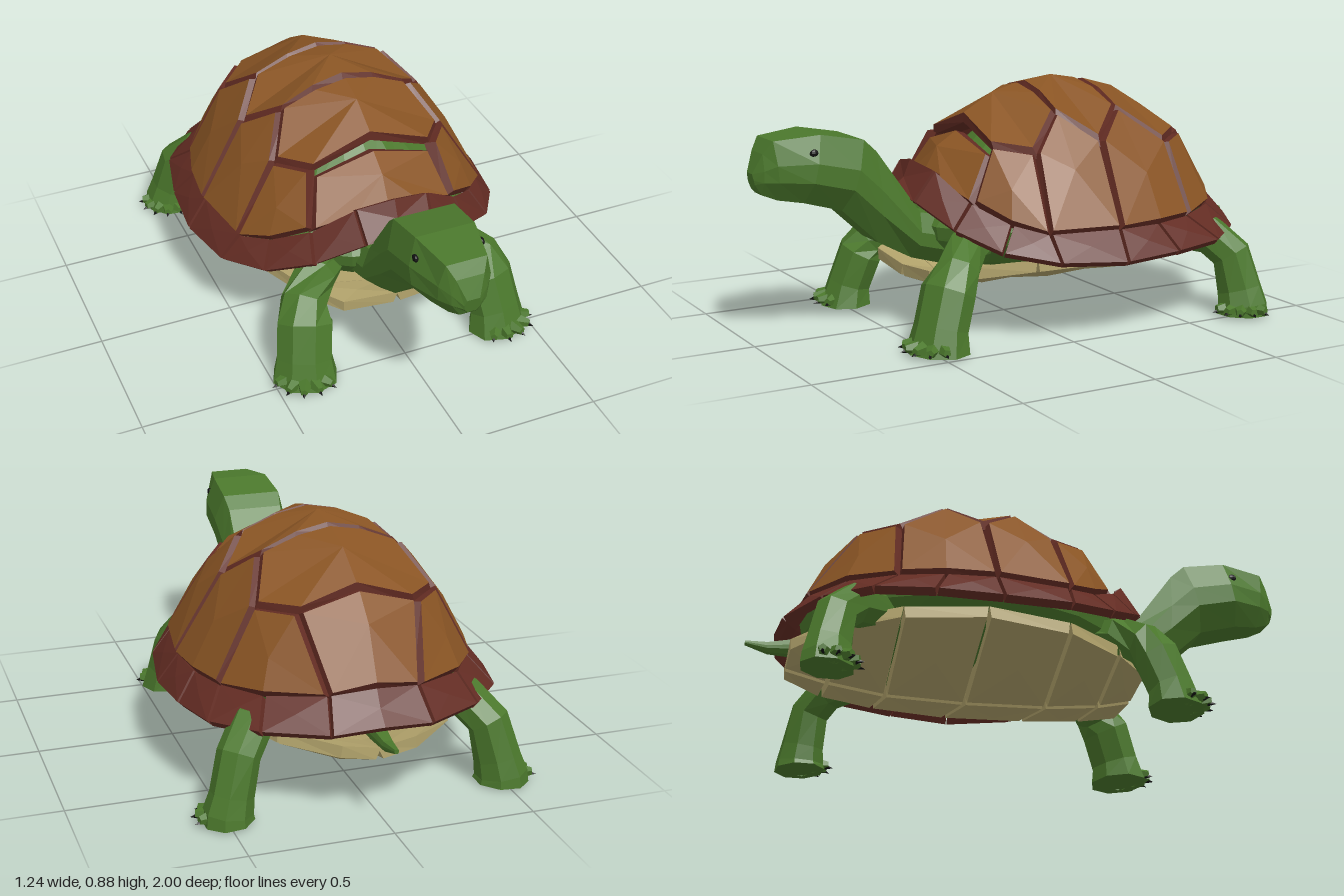
import * as THREE from 'three';

const GREEN = 0x4b782c, BROWN = 0x8a5524, RED = 0x632c23, CREAM = 0xb3a46c, BLACK = 0x111111;
const v = (x, y, z) => new THREE.Vector3(x, y, z);
const flip = (p) => v(-p.x, p.y, p.z);
const CORE = v(0, 0.4, -0.2);

function mesh(name, geometry, color) {
  const m = new THREE.Mesh(geometry, new THREE.MeshStandardMaterial({ color, flatShading: true }));
  m.name = name;
  return m;
}

// Flat triangles from a list of corner points, three per face
function faces(points) {
  const g = new THREE.BufferGeometry().setFromPoints(points);
  g.computeVertexNormals();
  return g;
}

const average = (pts) => pts.reduce((a, p) => a.add(p), v(0, 0, 0)).divideScalar(pts.length);

// Bevelled plate over an outline: raised face, sloping edge and closed back
function plate(name, outline, { peak, bulge = 0, thick = 0.04, inset = 0.022, face = RED, edge = RED }) {
  const mid = average(outline), n = v(0, 0, 0);
  outline.forEach((p, i) => {
    const q = outline[(i + 1) % outline.length];
    n.add(p.clone().sub(mid).cross(q.clone().sub(mid)));
  });
  n.normalize();
  let ring = outline;
  if (n.dot(mid.clone().sub(CORE)) < 0) { n.negate(); ring = [...outline].reverse(); }
  const apex = peak || mid.clone().addScaledVector(n, bulge);
  const back = mid.clone().addScaledVector(n, -thick);
  const toward = (p, d) => p.clone().add(mid.clone().sub(p).setLength(d));
  const top = ring.map((p) => toward(p, inset));
  const low = ring.map((p) => toward(p, 0.005).addScaledVector(n, -thick));
  const faceTris = [], edgeTris = [];
  top.forEach((a, i) => {
    const j = (i + 1) % top.length;
    faceTris.push(apex, a, top[j]);
    edgeTris.push(a, low[i], low[j], a, low[j], top[j], back, low[j], low[i]);
  });
  const g = new THREE.Group();
  g.name = name;
  g.add(mesh(name + 'Face', faces(faceTris), face), mesh(name + 'Edge', faces(edgeTris), edge));
  return g;
}

// Skin through a row of rings, closed at both ends
function loft(rings) {
  const t = [], n = rings[0].length;
  for (let r = 0; r < rings.length - 1; r++) {
    for (let i = 0; i < n; i++) {
      const j = (i + 1) % n, a = rings[r], b = rings[r + 1];
      t.push(a[i], a[j], b[j], a[i], b[j], b[i]);
    }
  }
  const first = rings[0], last = rings[rings.length - 1], c0 = average(first), c1 = average(last);
  for (let i = 0; i < n; i++) {
    const j = (i + 1) % n;
    t.push(c0, first[j], first[i], c1, last[i], last[j]);
  }
  return faces(t);
}

// Eight-sided section between a top and a bottom point: [topZ, topY, bottomZ, bottomY, halfWidth]
const SECTION = [[0.97, 0.68], [1, 0.4], [0.78, 0], [-0.78, 0], [-1, 0.4], [-0.97, 0.68], [-0.5, 1], [0.5, 1]];
const section = ([tz, ty, bz, by, w]) =>
  SECTION.map(([k, t]) => v(k * w, ty + (by - ty) * t, tz + (bz - tz) * t));

// Level body ring: [y, halfWidth, halfLength]
const bodyRing = ([y, rx, rz]) => Array.from({ length: 20 }, (_, k) => {
  const a = (k / 20) * Math.PI * 2;
  return v(rx * Math.sin(a), y, -0.21 + rz * Math.cos(a));
});

// Limb rings square to the path: [x, y, z, radiusForward, radiusSide]
function limbRings(path, forward, sides = 8) {
  const pts = path.map(([x, y, z]) => v(x, y, z));
  return pts.map((p, i) => {
    const last = i === pts.length - 1;
    const t = last ? v(0, -1, 0) : pts[i + 1].clone().sub(pts[Math.max(i - 1, 0)]).normalize();
    const n1 = forward.clone().addScaledVector(t, -forward.dot(t)).normalize();
    const n2 = t.clone().cross(n1);
    return Array.from({ length: sides }, (_, k) => {
      const a = ((k + 0.5) / sides) * Math.PI * 2;
      return p.clone().addScaledVector(n1, Math.cos(a) * path[i][3]).addScaledVector(n2, Math.sin(a) * path[i][4]);
    });
  });
}

function leg(name, path, angle, s) {
  const g = new THREE.Group();
  g.name = name;
  const mirrored = path.map(([x, ...rest]) => [x * s, ...rest]);
  const dirAt = (a) => v(Math.sin(a) * s, 0, Math.cos(a));
  g.add(mesh(name + 'Limb', loft(limbRings(mirrored, dirAt(angle))), GREEN));
  const [fx, , fz, reach] = mirrored[mirrored.length - 1];
  const up = v(0, 1, 0);
  // Toes fan out around the front of the foot, each with a claw
  for (let i = 0; i < 5; i++) {
    const d = dirAt(angle + (i - 2) * 0.48);
    const toe = mesh('toe', new THREE.CylinderGeometry(0.014, 0.032, 0.06, 5), GREEN);
    const claw = mesh('claw', new THREE.ConeGeometry(0.011, 0.03, 4), BLACK);
    toe.position.set(fx, 0.026, fz).addScaledVector(d, reach - 0.008);
    claw.position.set(fx, 0.016, fz).addScaledVector(d, reach + 0.024);
    toe.quaternion.setFromUnitVectors(up, d);
    claw.quaternion.setFromUnitVectors(up, d.clone().setY(-0.15).normalize());
    g.add(toe, claw);
  }
  return g;
}

function shell() {
  const g = new THREE.Group();
  g.name = 'shell';
  // Edge from back to front: rim outer x, y, z and dome edge x, y, z
  const rim = [
    [0, 0.325, -0.905, 0, 0.44, -0.83], [0.18, 0.315, -0.885, 0.165, 0.42, -0.81],
    [0.39, 0.31, -0.77, 0.36, 0.4, -0.69], [0.525, 0.3, -0.61, 0.47, 0.39, -0.52],
    [0.575, 0.29, -0.4, 0.52, 0.385, -0.36], [0.592, 0.28, -0.17, 0.535, 0.385, -0.18],
    [0.55, 0.295, 0.08, 0.495, 0.385, 0.09], [0.445, 0.33, 0.255, 0.41, 0.415, 0.2],
    [0.3, 0.395, 0.37, 0.28, 0.485, 0.29], [0.13, 0.475, 0.44, 0.14, 0.585, 0.36],
    [0, 0.5, 0.475, 0, 0.615, 0.385],
  ];
  const O = rim.map((r) => v(r[0], r[1], r[2])), I = rim.map((r) => v(r[3], r[4], r[5]));
  // The rim tucks in under the dome edge, except at the raised collar
  const T = I.map((p, k) => (k < 8 ? v(p.x * 0.96, p.y + 0.002, -0.2 + (p.z + 0.2) * 0.97) : p));
  // Corners where the spine plates meet the side plates, front to back
  const [A, B, C, D, E, F, G] = [
    [0.24, 0.68, 0.19], [0.33, 0.66, 0.06], [0.255, 0.785, -0.07], [0.355, 0.69, -0.2],
    [0.26, 0.785, -0.325], [0.33, 0.66, -0.5], [0.215, 0.67, -0.63],
  ].map((p) => v(...p));
  const S = [v(0, 0.76, 0.19), v(0, 0.872, -0.07), v(0, 0.87, -0.325), v(0, 0.735, -0.63)];
  const M = [v(0.13, 0.843, -0.07), v(0.13, 0.843, -0.325)];
  // The front plate sits a little lower than its neighbour
  const frontA = v(0.235, 0.645, 0.19), frontS = v(0, 0.715, 0.19);
  const collar = [v(0, 0.56, 0.35), v(0.14, 0.53, 0.335), I[8]];

  // Spine plates: half outlines running from centre line to centre line
  const spine = [
    [[...collar, frontA, frontS], v(0, 0.645, 0.28)],
    [[S[0], A, B, C, M[0], S[1]], v(0, 0.828, 0.05)],
    [[S[1], M[0], C, D, E, M[1], S[2]], v(0, 0.878, -0.2)],
    [[S[2], M[1], E, F, G, S[3]], v(0, 0.82, -0.47)],
    [[S[3], G, I[1], I[0]], v(0, 0.63, -0.73)],
  ];
  for (const [half, peak] of spine) {
    const outline = [...half, ...half.slice(1, -1).reverse().map(flip)];
    g.add(plate('spinePlate', outline, { peak, face: BROWN }));
  }
  // Side plates
  const sides = [[A, B, I[6], I[7], I[8]], [B, C, D, I[5], I[6]], [D, E, F, I[3], I[4], I[5]], [F, G, I[1], I[2], I[3]]];
  for (const side of sides) {
    for (const outline of [side, side.map(flip)]) g.add(plate('sidePlate', outline, { bulge: 0.018, face: BROWN }));
  }
  // Rim plates, with one wide plate at each end
  const rimStyle = { inset: 0.008, thick: 0.03, bulge: 0.006 };
  for (let k = 1; k < 9; k++) {
    const quad = [O[k], O[k + 1], T[k + 1], T[k]];
    for (const outline of [quad, quad.map(flip)]) g.add(plate('rimPlate', outline, rimStyle));
  }
  for (const [e, k] of [[0, 1], [10, 9]]) {
    g.add(plate('rimEndPlate', [flip(O[k]), O[e], O[k], T[k], T[e], flip(T[k])], rimStyle));
  }
  return g;
}

// Belly plates in two columns: z, half width, centre y, edge y
function belly() {
  const g = new THREE.Group();
  g.name = 'bellyShell';
  const rows = [
    [0.43, 0.22, 0.18, 0.2], [0.3, 0.33, 0.15, 0.22], [0.1, 0.43, 0.128, 0.245], [-0.2, 0.48, 0.118, 0.255],
    [-0.49, 0.43, 0.124, 0.25], [-0.7, 0.32, 0.155, 0.235], [-0.86, 0.14, 0.195, 0.22],
  ];
  for (let i = 0; i < rows.length - 1; i++) {
    const [a, b] = [rows[i], rows[i + 1]];
    const quad = [v(0, a[2], a[0]), v(a[1], a[3], a[0]), v(b[1], b[3], b[0]), v(0, b[2], b[0])];
    for (const outline of [quad, quad.map(flip)]) {
      g.add(plate('bellyPlate', outline, { inset: 0.016, thick: 0.042, bulge: 0.018, face: CREAM, edge: CREAM }));
    }
  }
  return g;
}

export function createModel() {
  const model = new THREE.Group();
  model.name = 'tortoise';
  model.add(shell(), belly());

  // Body filling the shell down to the belly
  const body = [
    [0.2, 0.2, 0.36], [0.25, 0.38, 0.52], [0.33, 0.47, 0.59], [0.38, 0.485, 0.6],
    [0.55, 0.37, 0.46], [0.69, 0.21, 0.3], [0.77, 0.09, 0.14],
  ];
  model.add(mesh('body', loft(body.map(bodyRing)), GREEN));

  // Neck and head
  const neck = [
    [0.25, 0.4, 0.28, 0.22, 0.14], [0.4, 0.43, 0.42, 0.26, 0.132], [0.57, 0.665, 0.55, 0.33, 0.135],
    [0.62, 0.71, 0.69, 0.46, 0.145], [0.78, 0.74, 0.83, 0.5, 0.138], [0.94, 0.725, 0.92, 0.515, 0.095],
    [0.97, 0.68, 0.97, 0.535, 0.065], [1, 0.61, 0.99, 0.555, 0.03],
  ];
  model.add(mesh('headAndNeck', loft(neck.map(section)), GREEN));

  // Tail, from tip to root
  const tail = [
    [-1, 0.295, -1, 0.28, 0.008], [-0.92, 0.292, -0.92, 0.255, 0.02],
    [-0.82, 0.31, -0.8, 0.25, 0.032], [-0.68, 0.35, -0.68, 0.27, 0.05],
  ];
  model.add(mesh('tail', loft(tail.map(section)), GREEN));

  // Legs with a cuff below the elbow, and eyes, on both sides
  const front = [
    [0.14, 0.33, 0.17, 0.09, 0.08], [0.27, 0.31, 0.31, 0.075, 0.08], [0.345, 0.26, 0.38, 0.075, 0.085],
    [0.36, 0.2, 0.425, 0.085, 0.105], [0.38, 0.08, 0.465, 0.083, 0.105], [0.385, 0, 0.48, 0.1, 0.122],
  ];
  const back = [
    [0.28, 0.32, -0.52, 0.08, 0.075], [0.39, 0.29, -0.66, 0.075, 0.075], [0.45, 0.22, -0.72, 0.075, 0.075],
    [0.48, 0.09, -0.74, 0.075, 0.085], [0.495, 0.03, -0.745, 0.085, 0.095], [0.495, 0, -0.745, 0.088, 0.1],
  ];
  for (const s of [1, -1]) {
    const side = s > 0 ? 'Left' : 'Right';
    model.add(leg('frontLeg' + side, front, 0.4, s), leg('backLeg' + side, back, 0.85, s));
    const eye = mesh('eye' + side, new THREE.SphereGeometry(0.017, 8, 6), BLACK);
    eye.position.set(s * 0.12, 0.68, 0.81);
    eye.scale.set(0.6, 0.8, 1);
    model.add(eye);
  }
  return model;
}
